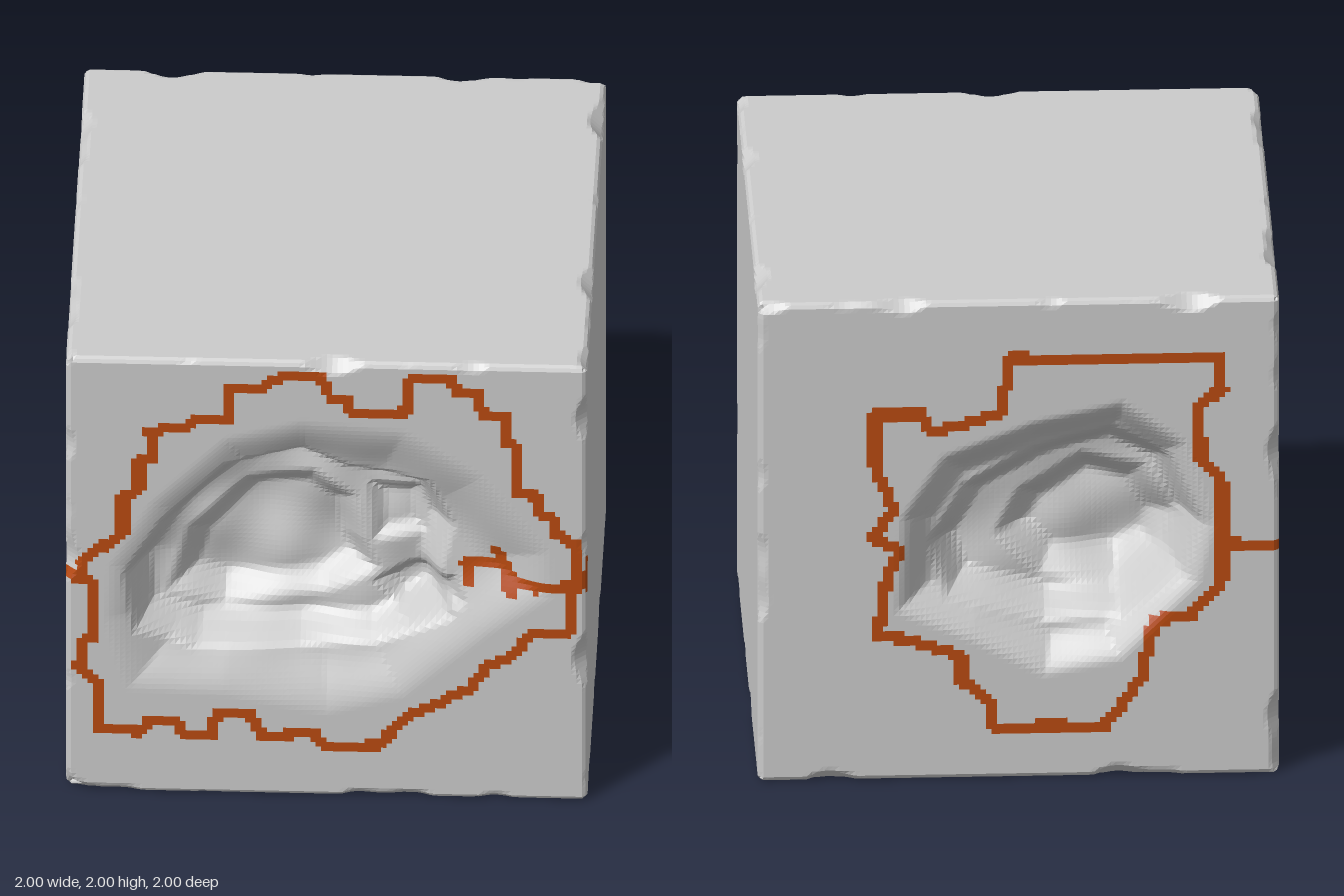
import * as THREE from 'three';

const N = 96; // cells along each side of a face
const stone = new THREE.MeshStandardMaterial({ color: 0xcccccc, flatShading: true });
const orange = new THREE.MeshStandardMaterial({ color: 0xb84a10, flatShading: true });

// Painted outlines (x, y) with y measured from the ground
const frontOutline = [
  [-1, 1], [-0.93, 1], [-0.95, 1.05], [-0.86, 1.13], [-0.78, 1.2], [-0.78, 1.37], [-0.72, 1.4], [-0.72, 1.53],
  [-0.66, 1.55], [-0.68, 1.67], [-0.55, 1.69], [-0.5, 1.73], [-0.38, 1.73], [-0.38, 1.87], [-0.25, 1.88],
  [-0.18, 1.93], [-0.02, 1.93], [0.02, 1.83], [0.08, 1.83], [0.1, 1.77], [0.3, 1.78], [0.32, 1.93],
  [0.48, 1.93], [0.5, 1.87], [0.58, 1.87], [0.6, 1.77], [0.68, 1.77], [0.68, 1.65], [0.73, 1.63],
  [0.73, 1.42], [0.82, 1.4], [0.82, 1.32], [0.88, 1.3], [0.88, 1.23], [0.96, 1.18], [0.97, 1],
  [0.93, 0.95], [0.93, 0.78], [0.78, 0.76], [0.7, 0.65], [0.62, 0.62], [0.55, 0.51], [0.3, 0.37],
  [0.2, 0.24], [0, 0.23], [-0.05, 0.29], [-0.25, 0.27], [-0.3, 0.38], [-0.42, 0.38], [-0.44, 0.27],
  [-0.55, 0.27], [-0.58, 0.33], [-0.68, 0.33], [-0.72, 0.28], [-0.88, 0.3], [-0.87, 0.5], [-0.95, 0.57],
  [-0.93, 0.7], [-0.89, 0.72], [-0.9, 0.97], [-1, 1],
];
const frontBranch = [[1, 1], [0.97, 1], [0.8, 0.97], [0.73, 0.98], [0.7, 0.93], [0.7, 1], [0.65, 1.11],
  [0.68, 1.03], [0.62, 1.05], [0.53, 1.04], [0.54, 0.96]];
const backOutline = [
  [-1, 0.96], [-0.78, 0.97], [-0.78, 1.23], [-0.7, 1.32], [-0.69, 1.54], [-0.78, 1.62], [-0.77, 1.75],
  [-0.35, 1.75], [0.03, 1.76], [0.07, 1.53], [0.34, 1.45], [0.37, 1.53], [0.55, 1.53], [0.55, 1.32],
  [0.48, 1.13], [0.56, 1.02], [0.46, 0.96], [0.51, 0.82], [0.54, 0.61], [0.44, 0.59], [0.22, 0.52],
  [0.22, 0.41], [0.12, 0.34], [0.09, 0.2], [-0.1, 0.22], [-0.33, 0.21], [-0.47, 0.41], [-0.52, 0.65],
  [-0.66, 0.67], [-0.78, 0.81], [-0.78, 0.97],
];
const sideSeam = [[-1, 0.96], [-0.6, 0.94], [-0.19, 0.95], [0.3, 1], [0.58, 1.04], [0.85, 1], [1, 1]];

// Nested terraces of each hollow: loop, depth of the step, width of its slope
const frontHollow = [
  { h: 0.09, w: 0.28, loop: [[-0.84, 1.05], [-0.68, 1.35], [-0.4, 1.65], [-0.1, 1.74], [0.3, 1.7], [0.6, 1.5],
    [0.86, 1.15], [0.87, 0.93], [0.62, 0.75], [0.3, 0.46], [0, 0.37], [-0.4, 0.45], [-0.77, 0.47], [-0.86, 0.8]] },
  { h: 0.13, w: 0.11, loop: [[-0.79, 1], [-0.65, 1.24], [-0.4, 1.51], [-0.1, 1.58], [0.1, 1.48], [0.4, 1.43],
    [0.5, 1.2], [0.45, 1], [0.5, 0.8], [0.2, 0.65], [-0.1, 0.62], [-0.5, 0.62], [-0.75, 0.72]] },
  { h: 0.09, w: 0.12, loop: [[-0.63, 0.8], [-0.55, 1.1], [-0.32, 1.34], [-0.05, 1.38], [0.12, 1.25], [0.15, 1.05],
    [0.22, 0.9], [0, 0.78], [-0.4, 0.72]] },
  { h: 0.05, w: 0.08, loop: [[0.14, 1.32], [0.38, 1.32], [0.4, 1.08], [0.16, 1.02]] },
  { h: 0.05, w: 0.07, loop: [[0.15, 0.86], [0.3, 0.95], [0.5, 0.99], [0.55, 0.86], [0.3, 0.72]] },
];
const backHollow = [
  { h: 0.1, w: 0.16, loop: [[-0.76, 1.05], [-0.65, 1.4], [-0.4, 1.58], [-0.05, 1.5], [0.3, 1.36], [0.46, 1.1],
    [0.48, 0.7], [0.2, 0.58], [-0.1, 0.42], [-0.4, 0.48], [-0.7, 0.8]] },
  { h: 0.14, w: 0.12, loop: [[-0.72, 1.05], [-0.6, 1.32], [-0.36, 1.45], [-0.05, 1.36], [0.22, 1.2], [0.36, 0.95],
    [0.28, 0.72], [-0.1, 0.6], [-0.4, 0.62], [-0.65, 0.82]] },
  { h: 0.12, w: 0.14, loop: [[-0.64, 1], [-0.5, 1.22], [-0.25, 1.27], [0, 1.12], [0.1, 0.92], [-0.08, 0.73],
    [-0.4, 0.7], [-0.58, 0.82]] },
];

function distanceTo(line, x, y, closed) {
  let best = 9;
  for (let i = closed ? 0 : 1; i < line.length; i++) {
    const [ax, ay] = line[(i + line.length - 1) % line.length], [bx, by] = line[i];
    const dx = bx - ax, dy = by - ay;
    const t = THREE.MathUtils.clamp(((x - ax) * dx + (y - ay) * dy) / (dx * dx + dy * dy || 1), 0, 1);
    best = Math.min(best, Math.hypot(x - ax - dx * t, y - ay - dy * t));
  }
  return best;
}

function inside(loop, x, y) {
  let hit = false;
  loop.forEach(([ax, ay], i) => {
    const [bx, by] = loop[(i + 1) % loop.length];
    if (ay > y !== by > y && x < ax + ((y - ay) / (by - ay)) * (bx - ax)) hit = !hit;
  });
  return hit;
}

function hollowDepth(steps, x, y) {
  let depth = 0;
  for (const { h, w, loop } of steps) {
    if (inside(loop, x, y)) depth += h * THREE.MathUtils.smoothstep(distanceTo(loop, x, y, true), 0, w);
  }
  // Gentle unevenness that fades out at the rim
  return depth * (1 + 0.07 * Math.sin(13 * x + 4 * y) * Math.sin(11 * y - 5 * x));
}

// Irregular chips along the twelve edges
function chipEdges(p) {
  const c = p.toArray(), out = c.slice();
  for (let a = 0; a < 3; a++) {
    const b = (a + 1) % 3, t = c[(a + 2) % 3];
    const seed = 2.1 * a + 3.7 * Math.sign(c[a]) + 1.3 * Math.sign(c[b]);
    const wave = Math.sin(5 * t + seed) + Math.sin(11.3 * t + 2 * seed) + 0.6 * Math.sin(23 * t + seed);
    const chip = 0.015 + 0.02 * Math.max(0, wave - 0.3);
    const excess = Math.abs(c[a]) + Math.abs(c[b]) - (2 - chip);
    if (excess > 0) {
      out[a] -= (Math.sign(c[a]) * excess) / 2;
      out[b] -= (Math.sign(c[b]) * excess) / 2;
    }
  }
  return p.fromArray(out);
}

// One face of the block: plain cells and painted cells become two meshes
function buildFace({ name, n, r, up, hollow, lines = [], flat = (p) => [p.x, p.y + 1] }) {
  const normal = new THREE.Vector3(...n), right = new THREE.Vector3(...r), upward = new THREE.Vector3(...up);
  const at = (u, v) => normal.clone().addScaledVector(right, u).addScaledVector(upward, v);
  const positions = [], plain = [], painted = [];
  for (let j = 0; j <= N; j++) {
    for (let i = 0; i <= N; i++) {
      const p = at((2 * i) / N - 1, (2 * j) / N - 1);
      const depth = hollow ? hollowDepth(hollow, ...flat(p)) : 0;
      positions.push(...chipEdges(p).addScaledVector(normal, -depth).toArray());
    }
  }
  for (let j = 0; j < N; j++) {
    for (let i = 0; i < N; i++) {
      const [x, y] = flat(at((2 * i + 1) / N - 1, (2 * j + 1) / N - 1));
      const target = lines.some((l) => distanceTo(l, x, y, false) < 0.023) ? painted : plain;
      const a = j * (N + 1) + i, d = a + N + 1;
      target.push(a, a + 1, d + 1, a, d + 1, d);
    }
  }
  const group = new THREE.Group();
  group.name = name;
  const attribute = new THREE.Float32BufferAttribute(positions, 3);
  for (const [part, index, material] of [['Stone', plain, stone], ['Seam', painted, orange]]) {
    if (!index.length) continue;
    const geometry = new THREE.BufferGeometry();
    geometry.setAttribute('position', attribute.clone());
    geometry.setIndex(index);
    geometry.computeVertexNormals();
    const mesh = new THREE.Mesh(geometry, material);
    mesh.name = name + part;
    group.add(mesh);
  }
  return group;
}

export function createModel() {
  const block = new THREE.Group();
  block.name = 'chippedBlock';
  const sideways = (p) => [p.z, p.y + 1];
  const faces = [
    { name: 'front', n: [0, 0, 1], r: [1, 0, 0], up: [0, 1, 0], hollow: frontHollow, lines: [frontOutline, frontBranch] },
    { name: 'back', n: [0, 0, -1], r: [-1, 0, 0], up: [0, 1, 0], hollow: backHollow, lines: [backOutline] },
    { name: 'leftSide', n: [1, 0, 0], r: [0, 0, -1], up: [0, 1, 0], flat: sideways, lines: [[[1, 0.98], [0.99, 1.1]]] },
    { name: 'rightSide', n: [-1, 0, 0], r: [0, 0, 1], up: [0, 1, 0], flat: sideways, lines: [sideSeam] },
    { name: 'top', n: [0, 1, 0], r: [1, 0, 0], up: [0, 0, -1] },
    { name: 'bottom', n: [0, -1, 0], r: [1, 0, 0], up: [0, 0, 1] },
  ];
  faces.forEach((face) => block.add(buildFace(face)));
  block.position.y = 1;
  const model = new THREE.Group();
  model.name = 'stoneBlock';
  model.add(block);
  return model;
}
